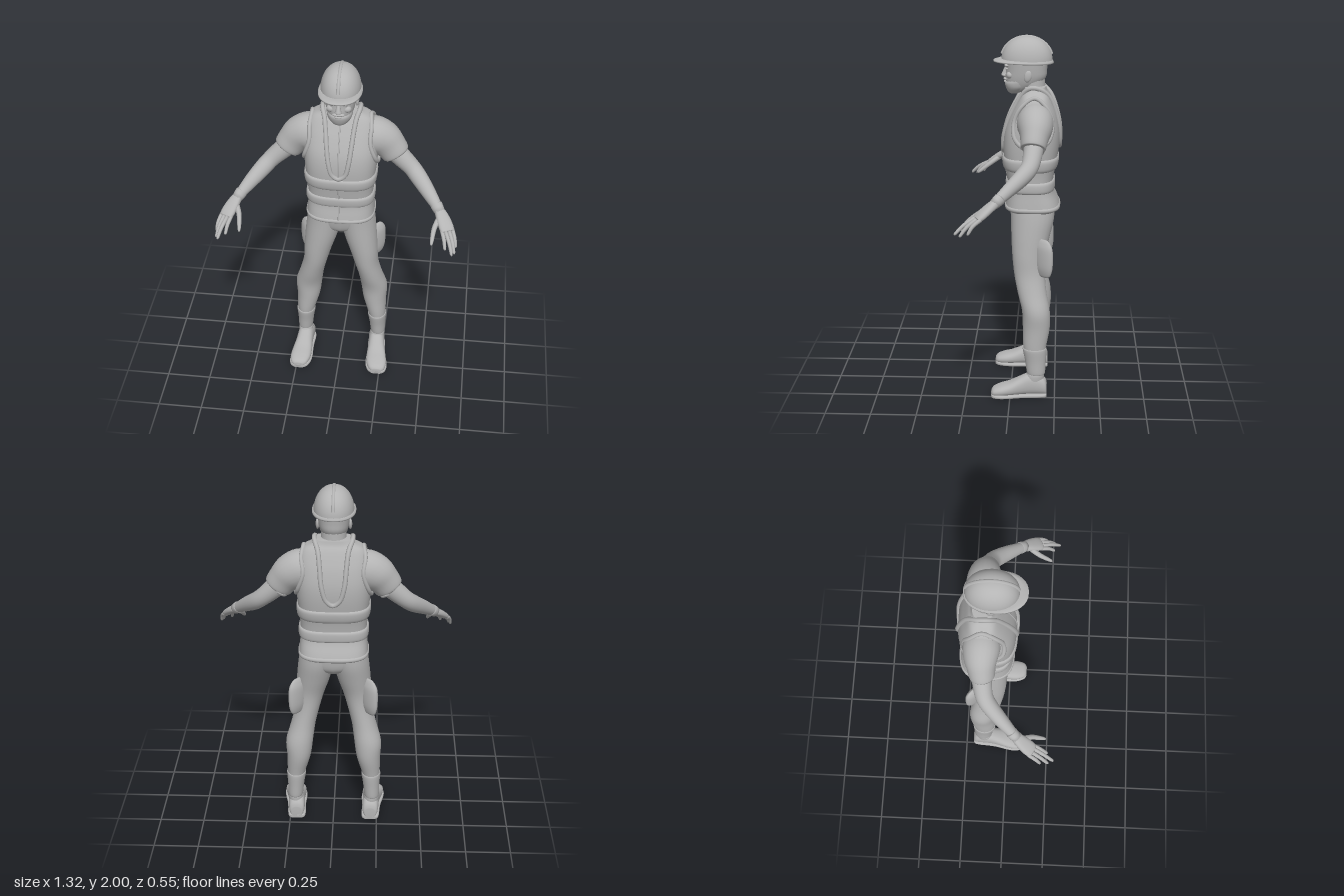
import * as THREE from 'three';

const V = (x, y, z) => new THREE.Vector3(x, y, z);
const UP = V(0, 1, 0);
const FWD = V(0, 0, 1);
const P = 3; // squareness of the torso cross-section

// Catmull-Rom resampling of rows of numbers, k steps per span
function smooth(rows, k) {
  const out = [];
  for (let i = 0; i < rows.length - 1; i++) {
    const a = rows[Math.max(i - 1, 0)], b = rows[i], c = rows[i + 1], d = rows[Math.min(i + 2, rows.length - 1)];
    for (let s = 0; s < k; s++) {
      const t = s / k;
      out.push(b.map((v, n) => v + 0.5 * t * (c[n] - a[n] + t * (2 * a[n] - 5 * v + 4 * c[n] - d[n]
        + t * (3 * (v - c[n]) + d[n] - a[n])))));
    }
  }
  out.push(rows[rows.length - 1]);
  return out;
}

// Skin over cross-sections [x, y, z, radiusA, radiusB]; dir fixes the ring plane
function loft(rows, { dir = null, ref = FWD, p = 2, n = 24, k = 4 } = {}) {
  const r = smooth(rows, k), pos = [], idx = [], m = r.length;
  const at = (i) => V(r[i][0], r[i][1], r[i][2]);
  for (let i = 0; i < m; i++) {
    const t = dir || at(Math.min(i + 1, m - 1)).sub(at(Math.max(i - 1, 0))).normalize();
    const a = t.clone().cross(ref).normalize(), b = t.clone().cross(a);
    for (let j = 0; j < n; j++) {
      const w = (j / n) * Math.PI * 2, c = Math.cos(w), s = Math.sin(w);
      const q = at(i).addScaledVector(a, Math.sign(c) * Math.abs(c) ** (2 / p) * r[i][3])
        .addScaledVector(b, Math.sign(s) * Math.abs(s) ** (2 / p) * r[i][4]);
      pos.push(q.x, q.y, q.z);
    }
  }
  for (let i = 0; i < m - 1; i++) for (let j = 0; j < n; j++) {
    const a = i * n + j, b = i * n + (j + 1) % n;
    idx.push(a, b, a + n, b, b + n, a + n);
  }
  const base = m * n, last = (m - 1) * n;
  for (const i of [0, m - 1]) { const c = at(i); pos.push(c.x, c.y, c.z); }
  for (let j = 0; j < n; j++) {
    const j2 = (j + 1) % n;
    idx.push(base, j2, j, base + 1, last + j, last + j2);
  }
  const g = new THREE.BufferGeometry();
  g.setAttribute('position', new THREE.Float32BufferAttribute(pos, 3));
  g.setIndex(idx);
  g.computeVertexNormals();
  return g;
}

// Torso profile: y, half width, front z, back z
const torso = smooth([
  [1.05, 0.178, 0.022, -0.255], [1.065, 0.188, 0.032, -0.266], [1.1, 0.186, 0.028, -0.256], [1.17, 0.18, 0.018, -0.23],
  [1.25, 0.182, 0.028, -0.235], [1.33, 0.19, 0.04, -0.25], [1.42, 0.198, 0.043, -0.262], [1.5, 0.2, 0.032, -0.262],
  [1.58, 0.193, 0.002, -0.247], [1.64, 0.182, -0.028, -0.225], [1.68, 0.16, -0.05, -0.207],
  [1.705, 0.118, -0.064, -0.192], [1.73, 0.096, -0.07, -0.185]], 4);

function torsoAt(y) {
  let i = 0;
  while (i < torso.length - 2 && torso[i + 1][0] < y) i++;
  const a = torso[i], b = torso[i + 1], t = THREE.MathUtils.clamp((y - a[0]) / (b[0] - a[0]), 0, 1);
  const [, rx, zf, zb] = a.map((v, n) => v + (b[n] - v) * t);
  return { rx, cz: (zf + zb) / 2, rz: (zf - zb) / 2 };
}
const arcOf = (u) => (1 - Math.min(Math.abs(u), 1) ** P) ** (1 / P);
const ringAt = (y, o) => { const t = torsoAt(y); return [0, y, t.cz, t.rx + o, t.rz + o]; };

export function createModel() {
  const model = new THREE.Group();
  model.name = 'worker';
  const grey = new THREE.MeshStandardMaterial({ color: 0xb4b4b4 });
  grey.name = 'plainGrey';
  const add = (name, geo) => {
    const m = new THREE.Mesh(geo, grey);
    m.name = name;
    model.add(m);
    return m;
  };
  const tube = (name, pts, r, closed = false, seg = 80) =>
    add(name, new THREE.TubeGeometry(new THREE.CatmullRomCurve3(pts, closed), seg, r, 8, closed));
  const ball = (name, x, y, z, rx, ry, rz) => {
    const m = add(name, new THREE.SphereGeometry(1, 20, 14));
    m.position.set(x, y, z);
    m.scale.set(rx, ry, rz);
    return m;
  };
  const flat = { dir: UP };

  // Vest body, raised bands and hem
  add('vest', loft(torso.map(([y]) => ringAt(y, 0)), { dir: UP, p: P, n: 48, k: 1 }));
  for (const [name, y0, y1] of [['chestBand', 1.28, 1.355], ['waistBand', 1.16, 1.225]]) {
    const rows = [[0, -0.004], [0.08, 0.006], [0.3, 0.011], [0.7, 0.011], [0.92, 0.006], [1, -0.004]]
      .map(([t, o]) => ringAt(y0 + (y1 - y0) * t, o));
    add(name, loft(rows, { dir: UP, p: P, n: 48, k: 2 }));
  }
  add('hem', loft([[1.055, -0.003], [1.06, 0.005], [1.075, 0.005], [1.082, -0.003]].map(([y, o]) => ringAt(y, o)),
    { dir: UP, p: P, n: 48, k: 2 }));

  // Lapel trim running down the chest and the back
  const onTorso = (x, y, side) => {
    const t = torsoAt(y);
    return V(x, y, t.cz + side * (t.rz * arcOf(x / t.rx) + 0.002));
  };
  const half = [[0.035, 1.39, 1], [0.054, 1.46, 1], [0.066, 1.55, 1], [0.075, 1.63, 1], [0.085, 1.69, 1]].map((a) => onTorso(...a));
  half.push(V(0.1, 1.728, -0.1), V(0.1, 1.725, -0.15));
  half.push(...[[0.08, 1.68, -1], [0.07, 1.6, -1], [0.06, 1.5, -1], [0.035, 1.42, -1]].map((a) => onTorso(...a)));
  const other = half.map((v) => V(-v.x, v.y, v.z)).reverse();
  tube('lapelTrim', [onTorso(0, 1.367, 1), ...half, onTorso(0, 1.395, -1), ...other], 0.013, true, 140);
  tube('zip', [1.7, 1.6, 1.5, 1.4, 1.3, 1.2, 1.08].map((y) => onTorso(0, y, 1)), 0.004);

  // Hips
  add('hips', loft([[0, 0.935, -0.115, 0.02, 0.05], [0, 0.96, -0.115, 0.08, 0.09], [0, 1, -0.118, 0.15, 0.112],
    [0, 1.08, -0.115, 0.176, 0.125]], { dir: UP, p: 2.3 }));

  for (const s of [1, -1]) {
    const side = s > 0 ? 'left' : 'right';
    const mir = (rows) => rows.map(([x, ...rest]) => [x * s, ...rest]);

    // Armhole trim
    tube(side + 'ArmholeTrim', [[1.685, -0.13], [1.64, -0.06], [1.56, -0.02], [1.47, -0.025], [1.42, -0.08], [1.415, -0.14],
      [1.46, -0.205], [1.56, -0.225], [1.64, -0.19]].map(([y, z]) => {
      const t = torsoAt(y);
      return V(s * (t.rx * arcOf((z - t.cz) / t.rz) + 0.004), y, z);
    }), 0.012, true);

    // Sleeve, arm and glove cuff
    add(side + 'Sleeve', loft(mir([[0.1, 1.565, -0.13, 0.09, 0.085], [0.17, 1.555, -0.132, 0.105, 0.098],
      [0.225, 1.53, -0.134, 0.1, 0.09], [0.265, 1.49, -0.13, 0.087, 0.075], [0.295, 1.448, -0.125, 0.078, 0.067],
      [0.296, 1.446, -0.125, 0.066, 0.057]])));
    add(side + 'Arm', loft(mir([[0.26, 1.49, -0.13, 0.058, 0.055], [0.32, 1.43, -0.125, 0.055, 0.052],
      [0.385, 1.37, -0.11, 0.048, 0.047], [0.43, 1.328, -0.075, 0.047, 0.044], [0.485, 1.28, -0.015, 0.04, 0.037],
      [0.548, 1.222, 0.058, 0.027, 0.026]])));
    add(side + 'GloveCuff', loft(mir([[0.532, 1.238, 0.038, 0.025, 0.025], [0.533, 1.237, 0.039, 0.034, 0.032],
      [0.555, 1.213, 0.068, 0.029, 0.027]]), { k: 2 }));

    // Hand and fingers
    add(side + 'Palm', loft(mir([[0.55, 1.22, 0.06, 0.027, 0.023], [0.572, 1.195, 0.095, 0.037, 0.021],
      [0.595, 1.163, 0.135, 0.041, 0.019], [0.605, 1.148, 0.155, 0.036, 0.014]]), { ref: V(-0.3 * s, -1, -0.6), p: 2.4 }));
    const fingers = [[0.572, 1.155, 0.152, 0.595, 1.085, 0.235], [0.594, 1.152, 0.162, 0.632, 1.075, 0.266],
      [0.613, 1.15, 0.152, 0.645, 1.068, 0.24], [0.628, 1.152, 0.132, 0.651, 1.08, 0.2]];
    for (const [x, y, z, u, v, w] of fingers) {
      add(side + 'Finger', loft(mir([[x, y, z, 0.011, 0.011], [(x + u) / 2 + 0.004, (y + v) / 2 + 0.006, (z + w) / 2 + 0.005, 0.0105, 0.0105],
        [u, v + 0.005, w - 0.006, 0.008, 0.008], [u, v, w, 0.003, 0.003]]), { n: 10, k: 3 }));
    }
    add(side + 'Thumb', loft(mir([[0.558, 1.198, 0.088, 0.016, 0.016], [0.532, 1.16, 0.145, 0.014, 0.014],
      [0.523, 1.115, 0.205, 0.01, 0.01], [0.522, 1.1, 0.222, 0.004, 0.004]]), { n: 10 }));

    // Trouser leg and gaiter
    add(side + 'Leg', loft(mir([[0.22, 0.15, -0.145, 0.036, 0.044], [0.214, 0.28, -0.137, 0.05, 0.062],
      [0.198, 0.4, -0.145, 0.067, 0.075], [0.193, 0.5, -0.142, 0.076, 0.077], [0.172, 0.6, -0.12, 0.069, 0.08],
      [0.148, 0.7, -0.105, 0.069, 0.085], [0.131, 0.8, -0.1, 0.08, 0.091], [0.111, 0.9, -0.108, 0.093, 0.105],
      [0.096, 1, -0.118, 0.098, 0.118], [0.09, 1.08, -0.118, 0.092, 0.122]]), flat));
    add(side + 'Gaiter', loft(mir([[0.22, 0.135, -0.145, 0.034, 0.044], [0.22, 0.14, -0.145, 0.042, 0.051],
      [0.217, 0.21, -0.142, 0.047, 0.058], [0.214, 0.28, -0.137, 0.055, 0.067], [0.214, 0.287, -0.137, 0.048, 0.06]]), flat));

    // Thigh pouch: a flat leaf standing out diagonally
    const pouch = add(side + 'Pouch', loft([[0, -0.105, 0, 0.03, 0.008], [0, -0.09, 0, 0.05, 0.016], [0, -0.04, 0, 0.064, 0.026],
      [0, 0.05, 0, 0.064, 0.026], [0, 0.09, 0, 0.048, 0.016], [0, 0.108, 0, 0.028, 0.006]], flat));
    pouch.position.set(0.198 * s, 0.805, -0.182);
    pouch.rotation.y = s * 0.85;

    // Shoe and sole
    const foot = [[0.213, -0.206, 0.03, 0.07], [0.213, -0.195, 0.042, 0.1], [0.214, -0.16, 0.047, 0.128], [0.217, -0.11, 0.047, 0.135],
      [0.22, -0.06, 0.05, 0.112], [0.225, 0, 0.058, 0.082], [0.23, 0.05, 0.059, 0.066], [0.234, 0.09, 0.046, 0.05], [0.235, 0.105, 0.025, 0.034]];
    add(side + 'Shoe', loft(mir(foot.map(([x, z, w, h]) => [x, h / 2 + 0.006, z, w, h / 2 - 0.003])), { dir: FWD, ref: UP, p: 2.4 }));
    add(side + 'Sole', loft(mir(foot.map(([x, z, w]) => [x, 0.011, z, w + 0.005, 0.011])), { dir: FWD, ref: UP, p: 4 }));
    add(side + 'ShoeCollar', loft(mir([[0.218, 0.09, -0.135, 0.042, 0.054], [0.219, 0.128, -0.14, 0.042, 0.05],
      [0.22, 0.15, -0.143, 0.034, 0.042]]), flat));

    // Ear, eye and brow
    ball(side + 'Ear', 0.086 * s, 1.79, -0.09, 0.01, 0.032, 0.02).rotation.x = -0.2;
    ball(side + 'Eye', 0.033 * s, 1.822, 0.023, 0.014, 0.007, 0.009);
    ball(side + 'Brow', 0.034 * s, 1.842, 0.024, 0.026, 0.009, 0.014);
    ball(side + 'Cheek', 0.042 * s, 1.79, 0.008, 0.024, 0.02, 0.02);
  }

  // Neck, head, beard and nose
  add('neck', loft([[0, 1.64, -0.125, 0.08, 0.065], [0, 1.71, -0.115, 0.068, 0.068], [0, 1.8, -0.105, 0.066, 0.075]], flat));
  add('head', loft([[0, 1.692, -0.025, 0.025, 0.025], [0, 1.705, -0.038, 0.048, 0.05], [0, 1.735, -0.062, 0.066, 0.09],
    [0, 1.775, -0.076, 0.078, 0.11], [0, 1.82, -0.08, 0.084, 0.112], [0, 1.88, -0.08, 0.088, 0.118]], { dir: UP, p: 2.2 }));
  add('beard', loft([[0, 1.684, -0.012, 0.018, 0.016], [0, 1.695, -0.018, 0.04, 0.038], [0, 1.72, -0.03, 0.062, 0.062],
    [0, 1.745, -0.036, 0.069, 0.073], [0, 1.762, -0.045, 0.07, 0.07]], flat));
  ball('moustache', 0, 1.765, 0.03, 0.034, 0.009, 0.014);
  ball('lips', 0, 1.75, 0.033, 0.02, 0.006, 0.01);
  add('nose', loft([[0, 1.774, 0.034, 0.012, 0.008], [0, 1.783, 0.037, 0.019, 0.018], [0, 1.795, 0.036, 0.014, 0.017],
    [0, 1.835, 0.024, 0.009, 0.01]], flat));

  // Hard hat: crown, brim and ridge
  const crown = [];
  for (let i = 0; i <= 10; i++) {
    const w = (i / 10) * 1.5;
    crown.push([0, 1.86 + 0.135 * Math.sin(w), -0.082, 0.107 * Math.cos(w) ** 0.9, 0.139 * Math.cos(w) ** 0.9]);
  }
  add('hatCrown', loft(crown, { dir: UP, p: 2.1, n: 36, k: 2 }));
  const brim = add('hatBrim', loft([[0, -0.008, 0, 0.108, 0.155], [0, -0.007, 0, 0.116, 0.163], [0, 0, 0, 0.116, 0.163],
    [0, 0.009, -0.012, 0.106, 0.146]], { dir: UP, p: 2.2, n: 36, k: 1 }));
  brim.position.set(0, 1.863, -0.064);
  brim.rotation.x = -0.03;
  const ridge = [];
  for (let i = 0; i <= 12; i++) {
    const w = 0.3 + (i / 12) * (Math.PI - 0.6);
    ridge.push(V(0, 1.86 + 0.13 * Math.sin(w), -0.082 + 0.138 * Math.cos(w)));
  }
  tube('hatRidge', ridge, 0.011);
  return model;
}
